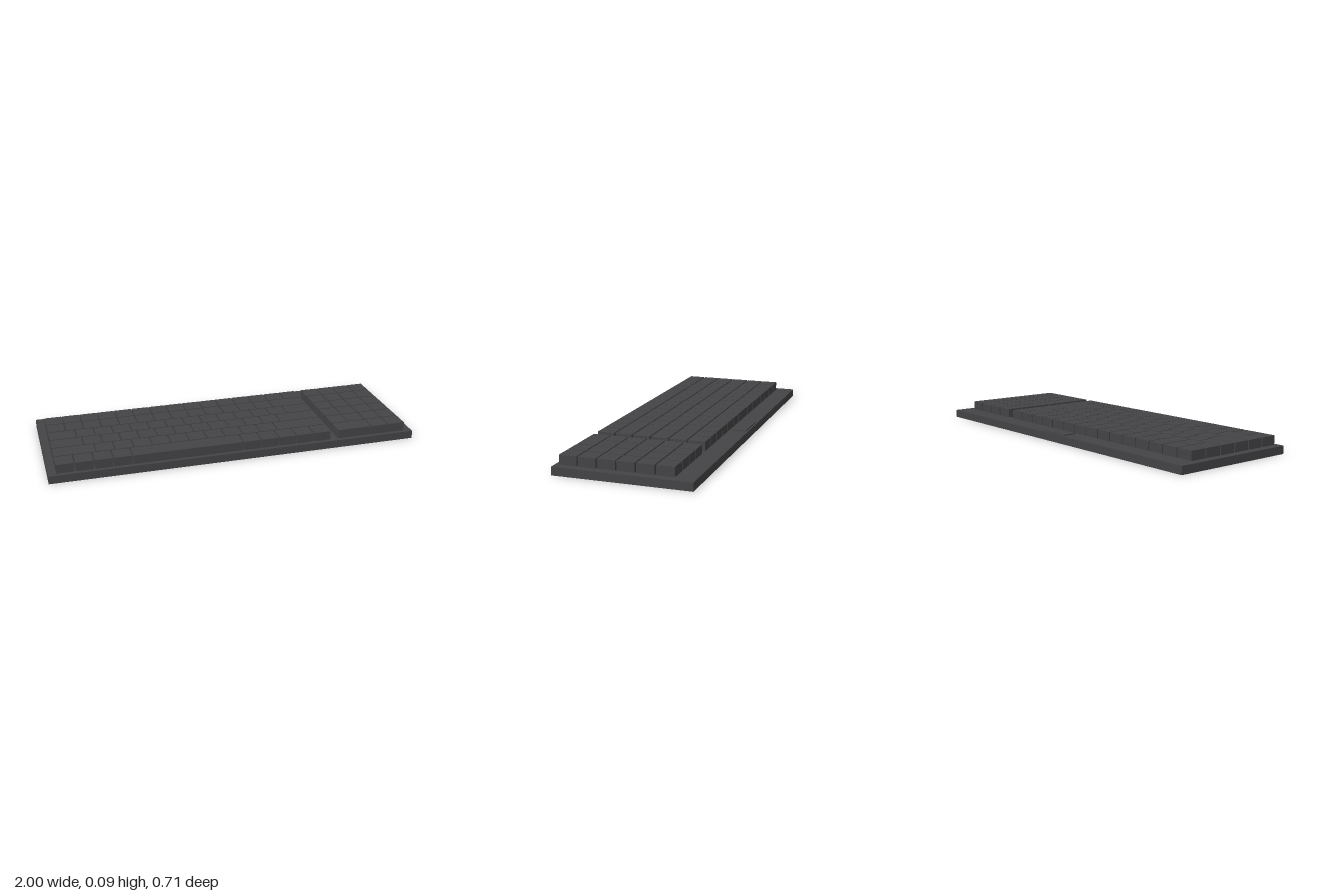
import * as THREE from 'three';

const UNIT = 0.099; // key pitch
const GAP = 0.007;
const BASE_TOP = 0.043;
const KEY_TOP = 0.092;

export function createModel() {
  const keyboard = new THREE.Group();
  keyboard.name = 'keyboard';

  const charcoal = new THREE.MeshStandardMaterial({ color: 0x444447 });
  charcoal.name = 'charcoal plastic';

  // Box from its footprint centre and its bottom and top heights
  function box(parent, name, width, depth, bottom, top, x, z) {
    const mesh = new THREE.Mesh(new THREE.BoxGeometry(width, top - bottom, depth), charcoal);
    mesh.position.set(x, (bottom + top) / 2, z);
    mesh.name = name;
    parent.add(mesh);
  }

  // Lays a block of key rows, back to front; numbers are widths in key units
  function keyBlock(name, startX, rows) {
    const block = new THREE.Group();
    block.name = name;
    rows.forEach((widths, row) => {
      let x = startX;
      const z = 0.289 - (rows.length - 1 - row) * UNIT;
      for (const units of widths) {
        const cell = units * UNIT;
        box(block, units === 6 ? 'spaceBar' : 'key', cell - GAP, UNIT - GAP,
          BASE_TOP, KEY_TOP, x + cell / 2, z);
        x += cell;
      }
    });
    keyboard.add(block);
  }

  const ones = (n) => Array(n).fill(1);

  // Case
  box(keyboard, 'case', 2, 0.712, 0, BASE_TOP, 0, 0);

  // Raised plate behind the keys
  box(keyboard, 'rearPlate', 0.2, 0.075, BASE_TOP, 0.049, 0, -0.308);

  // Main keys
  keyBlock('mainKeys', -0.961, [
    ones(15),
    [...ones(13), 2],
    [1.5, ...ones(12), 1.5],
    [1.75, ...ones(11), 2.25],
    [2.25, ...ones(10), 2.75],
    [...ones(4), 6, ...ones(5)],
  ]);

  // Number pad
  keyBlock('numberPad', 0.563, [
    ones(4), ones(4), ones(4), ones(4), ones(4),
    [2, 1, 1],
  ]);

  return keyboard;
}
